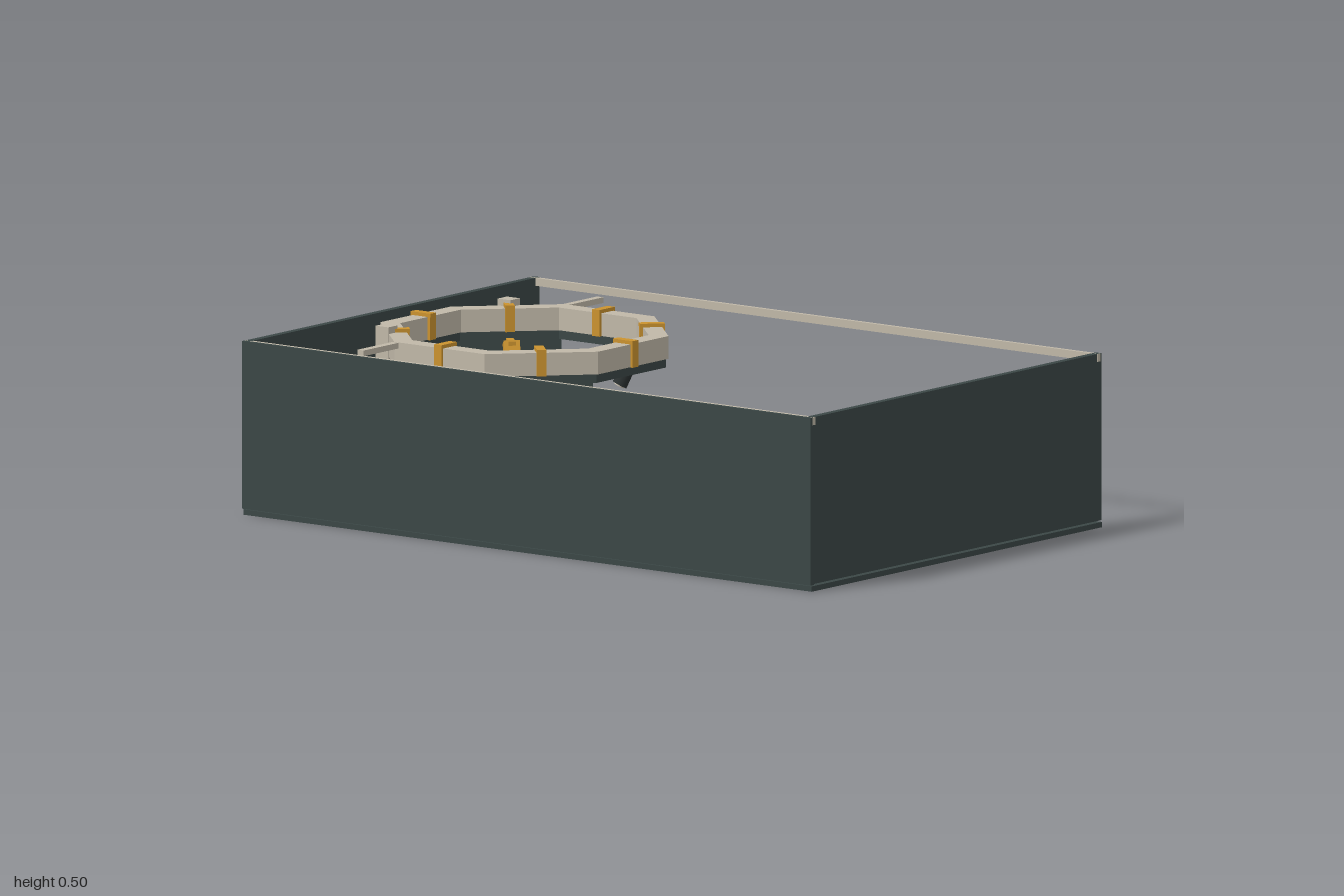
import * as THREE from 'three';

const mat = (name, color) => {
  const m = new THREE.MeshStandardMaterial({ color });
  m.name = name;
  return m;
};

export function createModel() {
  const wall = mat('slate wall', 0x3b4746);
  const tan = mat('pale stone', 0xc0b8a8);
  const gold = mat('brass', 0xcb932f);
  const dark = mat('dark metal', 0x2a3030);

  const model = new THREE.Group();
  model.name = 'openHall';

  const box = (name, m, w, h, d, x, y, z, parent = model) => {
    const mesh = new THREE.Mesh(new THREE.BoxGeometry(w, h, d), m);
    mesh.name = name;
    mesh.position.set(x, y, z);
    parent.add(mesh);
    return mesh;
  };

  // Octagonal ring between two apothems, from y0 up to y1
  const octagon = (Target, apothem) => {
    const s = new Target();
    const r = apothem / Math.cos(Math.PI / 8);
    for (let i = 0; i < 8; i++) {
      const a = Math.PI / 8 + (i * Math.PI) / 4;
      s[i ? 'lineTo' : 'moveTo'](r * Math.cos(a), r * Math.sin(a));
    }
    s.closePath();
    return s;
  };
  const ring = (name, m, outer, inner, y0, y1, parent) => {
    const shape = octagon(THREE.Shape, outer);
    shape.holes.push(octagon(THREE.Path, inner));
    const geo = new THREE.ExtrudeGeometry(shape, { depth: y1 - y0, bevelEnabled: false });
    geo.rotateX(-Math.PI / 2);
    const mesh = new THREE.Mesh(geo, m);
    mesh.name = name;
    mesh.position.y = y0;
    parent.add(mesh);
  };

  // Floor and three walls, the +x side is left open
  box('floor', wall, 1.308, 0.015, 2, 0.002, 0.0075, 0);
  box('frontWall', wall, 1.3, 0.47, 0.02, 0.005, 0.255, 0.988);
  box('backWall', wall, 1.3, 0.47, 0.02, 0.005, 0.255, -0.988);
  box('rightWall', wall, 0.016, 0.472, 2, -0.65, 0.254, 0);

  for (const s of [-1, 1]) {
    // Top rails, low light strips and floor lines along both sides
    box('topRail', tan, 0.012, 0.022, 2, s * 0.642, 0.479, 0);
    box('sideStrip', gold, 0.008, 0.01, 1.88, s * 0.638, 0.06, 0);
    box('aisleLine', gold, 0.01, 0.006, 1.09, s * 0.112, 0.018, 0.405);
    box('innerFloorLine', gold, 0.01, 0.006, 0.43, s * 0.238, 0.018, -0.535);

    // Low partitions with end posts
    box('partition', wall, 0.012, 0.23, 0.625, s * 0.437, 0.13, 0.67);
    box('partitionPost', tan, 0.03, 0.23, 0.04, s * 0.393, 0.13, 0.355);

    // Tall posts carrying the ring, and side arms
    box('ringPost', tan, 0.042, 0.488, 0.045, s * 0.275, 0.259, -0.79);
    box('sideArm', tan, 0.16, 0.016, 0.022, s * 0.46, 0.475, -0.675);
  }

  // Octagonal chamber
  const chamber = new THREE.Group();
  chamber.name = 'chamber';
  chamber.position.z = -0.52;
  model.add(chamber);
  ring('ringBeam', tan, 0.383, 0.33, 0.42, 0.484, chamber);
  ring('ringUnderside', wall, 0.376, 0.334, 0.395, 0.42, chamber);
  ring('baseStrip', gold, 0.368, 0.352, 0.015, 0.022, chamber);

  for (let i = 0; i < 8; i++) {
    const side = new THREE.Group();
    side.name = 'chamberSide';
    side.rotation.y = (i * Math.PI) / 4;
    chamber.add(side);

    // Clamp wrapped over the beam
    box('clampTop', gold, 0.026, 0.01, 0.07, 0, 0.489, 0.356, side);
    box('clampOuter', gold, 0.026, 0.07, 0.008, 0, 0.454, 0.387, side);
    box('clampInner', gold, 0.026, 0.07, 0.008, 0, 0.454, 0.326, side);

    // Wall panels on the closed sides
    if (i >= 3) box('chamberPanel', wall, 0.294, 0.38, 0.01, 0, 0.205, 0.355, side);

    // Spotlights hanging inside the diagonal sides
    if (i % 2) {
      const lamp = new THREE.Group();
      lamp.name = 'spotlight';
      lamp.position.set(0, 0.37, 0.29);
      side.add(lamp);
      box('lampArm', gold, 0.02, 0.012, 0.07, 0, 0.025, 0.02, lamp);
      box('lampBracket', gold, 0.045, 0.04, 0.03, 0, 0.008, 0, lamp).rotation.x = 0.5;
      const can = new THREE.Mesh(new THREE.CylinderGeometry(0.018, 0.022, 0.05, 12), dark);
      can.name = 'lampHousing';
      can.position.set(0, -0.026, -0.012);
      can.rotation.x = 0.5;
      lamp.add(can);
      const lens = new THREE.Mesh(new THREE.CylinderGeometry(0.015, 0.015, 0.006, 12), tan);
      lens.name = 'lampLens';
      lens.position.y = -0.026;
      can.add(lens);
    }
  }
  return model;
}
